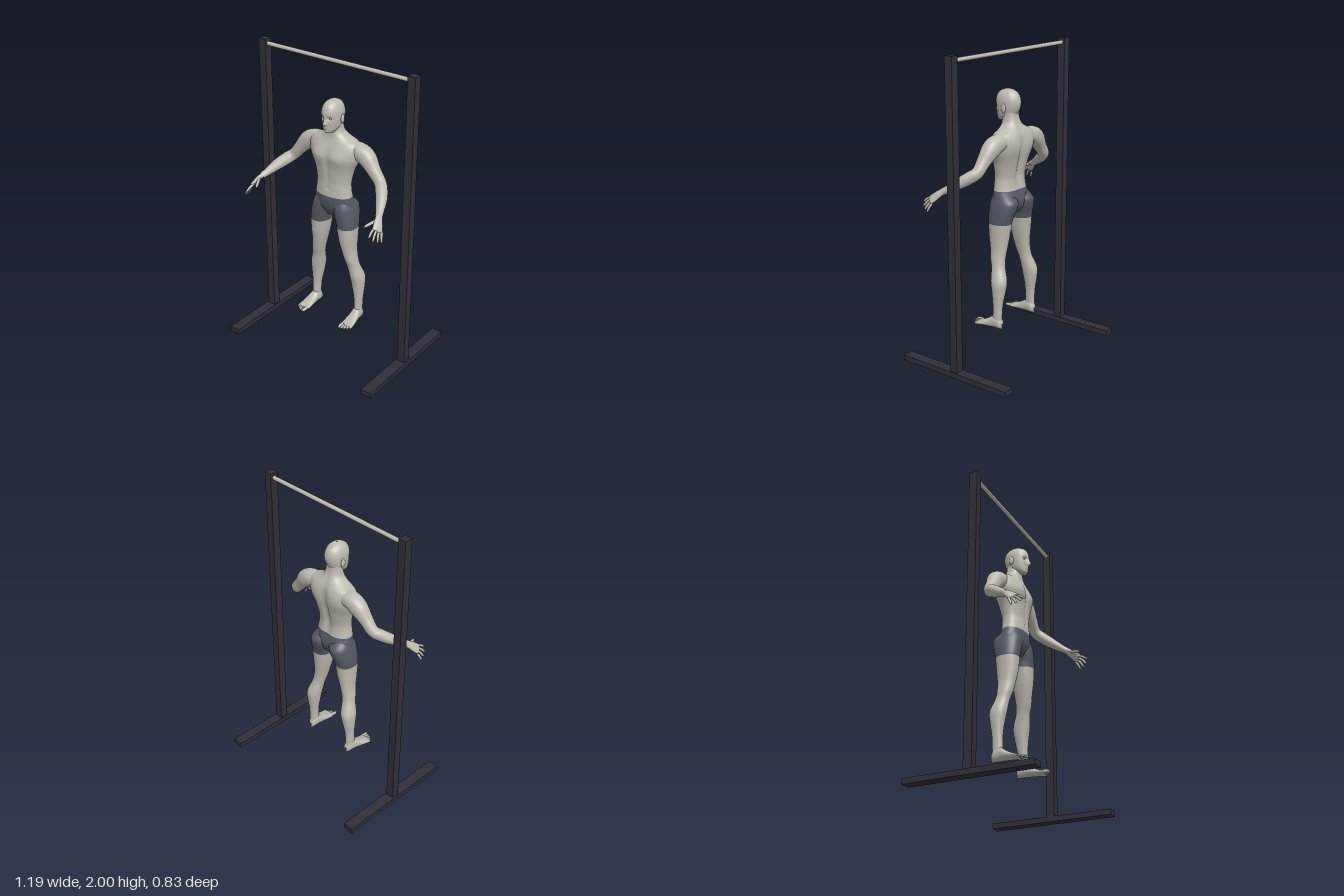
import * as THREE from 'three';

const material = (name, color) => {
  const m = new THREE.MeshStandardMaterial({ color });
  m.name = name;
  return m;
};
const gauss = (d, w) => Math.exp(-(d * d) / (w * w));
const sp = (v, e) => Math.sign(v) * Math.pow(Math.abs(v), 2 / e);

// Skins smooth rings between profile rows a..b; place() turns a row and a ring angle into a point.
function loft(name, mat, rows, place, { a = 0, b = rows.length - 1, side = 1, seg = 28, sub = 5, e = 2.2 } = {}) {
  const size = rows[0].length;
  const spline = new THREE.CubicInterpolant(rows.map((_, i) => i), rows.flat(), size);
  const at = (t) => Array.from(spline.evaluate(THREE.MathUtils.clamp(t, 0, rows.length - 1)));
  const n = Math.round((b - a) * sub), pos = [], idx = [], mid = new THREE.Vector3(), pts = [];
  for (let i = 0; i <= n; i++) {
    const t = a + ((b - a) * i) / n, row = at(t);
    const p0 = at(t - 0.1), p1 = at(t + 0.1);
    const tangent = new THREE.Vector3(p1[0] - p0[0], p1[1] - p0[1], p1[2] - p0[2]).normalize();
    for (let j = 0; j < seg; j++) {
      const g = (j / seg) * Math.PI * 2;
      const p = place(row, sp(Math.cos(g), e), sp(Math.sin(g), e), tangent);
      p.x *= side;
      pts.push(p);
      mid.add(p);
      pos.push(p.x, p.y, p.z);
      if (i < n) {
        const k = i * seg + j, l = i * seg + ((j + 1) % seg);
        idx.push(k, l, k + seg, l, l + seg, k + seg);
      }
    }
  }
  mid.divideScalar(pts.length);
  // Turn the faces outward
  let vol = 0;
  for (let i = 0; i < idx.length; i += 3) {
    const [u, v, w] = [0, 1, 2].map((k) => pts[idx[i + k]].clone().sub(mid));
    vol += u.dot(v.cross(w));
  }
  if (vol < 0) idx.reverse();
  const geo = new THREE.BufferGeometry();
  geo.setAttribute('position', new THREE.Float32BufferAttribute(pos, 3));
  geo.setIndex(idx);
  geo.computeVertexNormals();
  const mesh = new THREE.Mesh(geo, mat);
  mesh.name = name;
  return mesh;
}

// Rows of [y, centre x, half width, front z, back z]
const upright = ([y, cx, rx, f, k], c, s) =>
  new THREE.Vector3(cx + rx * c, y, (f + k) / 2 + ((f - k) / 2) * s);

// Rows of [x, y, z, half width, half depth] with rings square to the path
const limb = (ref) => ([x, y, z, rw, rd], c, s, t) => {
  const w = ref.clone().addScaledVector(t, -ref.dot(t)).normalize();
  const d = t.clone().cross(w);
  return new THREE.Vector3(x, y, z).addScaledVector(w, rw * c).addScaledVector(d, rd * s);
};

// Chest, belly, spine and shoulder blade relief
function trunkPoint(row, c, s) {
  const p = upright(row, c, s), ax = Math.abs(p.x), y = p.y;
  if (s > 0) {
    p.z += s * 0.014 * gauss(ax - 0.08, 0.055) * gauss(y - 1.375, 0.05);
    p.z -= s * 0.008 * gauss(ax, 0.014) * gauss(y - 1.32, 0.13);
    p.z -= s * 0.006 * gauss(ax, 0.012) * gauss(y - 1.155, 0.012);
  } else {
    p.z -= s * 0.02 * gauss(ax, 0.025) * gauss(y - 1.28, 0.2);
    p.z += s * 0.01 * gauss(ax - 0.09, 0.05) * gauss(y - 1.4, 0.06);
  }
  return p;
}

// Nose, eye sockets, lips and chin
function headPoint(row, c, s) {
  const p = upright(row, c, s), ax = Math.abs(p.x), y = p.y;
  if (s > 0) {
    p.z += 0.021 * gauss(ax, 0.011) * gauss(y - 1.598, 0.014) + 0.01 * gauss(ax, 0.008) * gauss(y - 1.62, 0.02);
    p.z -= 0.012 * gauss(ax - 0.027, 0.015) * gauss(y - 1.632, 0.011);
    p.z += 0.005 * gauss(ax, 0.02) * (gauss(y - 1.573, 0.005) + gauss(y - 1.562, 0.005));
    p.z += 0.005 * gauss(ax, 0.02) * gauss(y - 1.542, 0.008);
  }
  return p;
}

const TRUNK = [
  [0.935, 0, 0.01, 0.02, -0.02], [0.95, 0, 0.06, 0.045, -0.05], [0.98, 0, 0.115, 0.068, -0.07],
  [1.02, 0, 0.145, 0.085, -0.082], [1.06, 0, 0.141, 0.09, -0.078], [1.1, 0, 0.131, 0.088, -0.066],
  [1.15, 0, 0.124, 0.085, -0.06], [1.2, 0, 0.123, 0.082, -0.062], [1.28, 0, 0.14, 0.088, -0.08],
  [1.34, 0, 0.167, 0.094, -0.094], [1.38, 0, 0.182, 0.093, -0.098], [1.43, 0, 0.188, 0.08, -0.096],
  [1.465, 0, 0.168, 0.066, -0.088], [1.49, 0, 0.112, 0.058, -0.076], [1.52, 0, 0.066, 0.055, -0.06],
  [1.56, 0, 0.053, 0.052, -0.047], [1.61, 0, 0.05, 0.05, -0.042],
];
const HEAD = [
  [1.736, 0, 0.002, 0.025, 0.02], [1.728, 0, 0.028, 0.06, -0.015], [1.708, 0, 0.048, 0.09, -0.045],
  [1.675, 0, 0.061, 0.105, -0.061], [1.64, 0, 0.063, 0.107, -0.063], [1.605, 0, 0.06, 0.103, -0.053],
  [1.575, 0, 0.054, 0.099, -0.035], [1.552, 0, 0.043, 0.097, -0.005], [1.537, 0, 0.027, 0.091, 0.03],
  [1.531, 0, 0.003, 0.07, 0.066],
];
const LEG = [
  [1.08, 0.07, 0.055, 0.07, -0.05], [1.03, 0.08, 0.069, 0.087, -0.1], [0.98, 0.088, 0.073, 0.09, -0.096],
  [0.93, 0.1, 0.068, 0.088, -0.08], [0.89, 0.105, 0.066, 0.085, -0.07], [0.8, 0.111, 0.056, 0.078, -0.06],
  [0.72, 0.12, 0.046, 0.065, -0.05], [0.65, 0.134, 0.042, 0.052, -0.046], [0.6, 0.144, 0.041, 0.037, -0.053],
  [0.52, 0.162, 0.047, 0.028, -0.08], [0.45, 0.168, 0.042, 0.016, -0.074], [0.36, 0.173, 0.03, 0.008, -0.059],
  [0.28, 0.175, 0.025, 0.01, -0.055], [0.235, 0.175, 0.027, 0.015, -0.055],
];
const ARM = [
  [0.11, 1.425, -0.02, 0.055, 0.05], [0.18, 1.417, -0.02, 0.056, 0.057], [0.232, 1.388, -0.018, 0.054, 0.058],
  [0.288, 1.325, -0.01, 0.042, 0.043], [0.337, 1.268, -0.004, 0.036, 0.038], [0.372, 1.238, 0.028, 0.036, 0.04],
  [0.41, 1.202, 0.08, 0.033, 0.036], [0.445, 1.16, 0.145, 0.024, 0.025], [0.461, 1.143, 0.178, 0.021, 0.022],
];
const PALM = [
  [0.456, 1.15, 0.165, 0.02, 0.016], [0.47, 1.133, 0.19, 0.026, 0.016], [0.487, 1.105, 0.222, 0.033, 0.014],
  [0.497, 1.088, 0.242, 0.031, 0.01], [0.499, 1.085, 0.246, 0.004, 0.002],
];
// Finger root and tip positions, thumb first
const FINGERS = [
  [[0.462, 1.133, 0.205], [0.425, 1.106, 0.277]], [[0.476, 1.104, 0.24], [0.484, 1.066, 0.31]],
  [[0.49, 1.094, 0.24], [0.504, 1.042, 0.296]], [[0.5, 1.084, 0.23], [0.519, 1.028, 0.27]],
  [[0.509, 1.075, 0.215], [0.529, 1.02, 0.242]],
];
// Foot rows of [z, centre x, half width, top y]
const FOOT = [
  [-0.062, 0.173, 0.004, 0.235], [-0.056, 0.173, 0.02, 0.255], [-0.035, 0.174, 0.028, 0.28],
  [0.0, 0.175, 0.031, 0.284], [0.04, 0.178, 0.037, 0.258], [0.09, 0.181, 0.043, 0.233],
  [0.122, 0.182, 0.041, 0.222], [0.133, 0.182, 0.006, 0.212],
];
const footPoint = ([z, cx, w, top], c, s) =>
  new THREE.Vector3(cx + w * c, (top + 0.198) / 2 + ((top - 0.198) / 2) * s, z);

// Tapered, slightly bent digit with a rounded tip
function digit(name, mat, from, to, r, bend, side) {
  const A = new THREE.Vector3(...from), B = new THREE.Vector3(...to);
  const rows = [[0, 1], [0.5, 1], [0.85, 0.85], [0.97, 0.55], [1, 0.05]].map(([t, k]) => {
    const p = A.clone().lerp(B, t);
    p.y += bend * Math.sin(t * Math.PI);
    return [p.x, p.y, p.z, r * k, r * k];
  });
  return loft(name, mat, rows, limb(new THREE.Vector3(1, 0, 0)), { side, seg: 10, sub: 3, e: 2 });
}

export function createModel() {
  const skin = material('skin', 0xbdbab0), shorts = material('shorts', 0x535863);
  const steel = material('frame', 0x302f3a), barMat = material('bar', 0xc0beb2);
  const model = new THREE.Group();
  const add = (name, geo, mat, x, y, z, parent = model) => {
    const m = new THREE.Mesh(geo, mat);
    m.name = name;
    m.position.set(x, y, z);
    parent.add(m);
    return m;
  };

  // Pull-up frame
  const frame = new THREE.Group();
  frame.name = 'pullUpFrame';
  for (const s of [-1, 1]) {
    add('post', new THREE.BoxGeometry(0.054, 2, 0.054), steel, s * 0.556, 1, 0, frame);
    add('baseRail', new THREE.BoxGeometry(0.073, 0.035, 0.832), steel, s * 0.5575, 0.0175, 0, frame);
  }
  add('bar', new THREE.CylinderGeometry(0.0135, 0.0135, 1.06, 24), barMat, 0, 1.968, 0, frame).rotation.z = Math.PI / 2;

  // Trunk and head
  const figure = new THREE.Group();
  figure.name = 'figure';
  figure.add(
    loft('torso', skin, TRUNK, trunkPoint, { a: 5, seg: 72, sub: 6 }),
    loft('shortsSeat', shorts, TRUNK, trunkPoint, { b: 5, seg: 72 }),
    loft('head', skin, HEAD, headPoint, { seg: 96, sub: 9, e: 2.1 }),
  );

  // Paired parts
  for (const s of [-1, 1]) {
    add('ear', new THREE.SphereGeometry(1, 16, 12), skin, s * 0.064, 1.618, 0.012, figure).scale.set(0.009, 0.03, 0.017);
    add('eye', new THREE.SphereGeometry(0.01, 16, 12), skin, s * 0.027, 1.632, 0.082, figure);
    figure.add(
      loft('shortsLeg', shorts, LEG, upright, { b: 4, side: s, seg: 36 }),
      loft('leg', skin, LEG, upright, { a: 4, side: s, seg: 36 }),
      loft('foot', skin, FOOT, footPoint, { side: s, seg: 28 }),
      loft('arm', skin, ARM, limb(new THREE.Vector3(0, 0, 1)), { side: s, seg: 32 }),
      loft('palm', skin, PALM, limb(new THREE.Vector3(1, -1, -0.95)), { side: s, seg: 24 }),
    );
    FINGERS.forEach(([from, to], i) =>
      figure.add(digit(i ? 'finger' : 'thumb', skin, from, to, i ? 0.0085 : 0.01, i ? 0.006 : 0, s)));
    for (let i = 0; i < 5; i++) {
      const x = 0.153 + i * 0.0155, r = i ? 0.0085 : 0.012;
      figure.add(digit('toe', skin, [x, 0.199 + r, 0.1], [x + 0.001 * i, 0.198 + r, 0.167 - 0.0022 * i * i], r, 0.003, s));
    }
  }
  model.add(frame, figure);
  return model;
}
